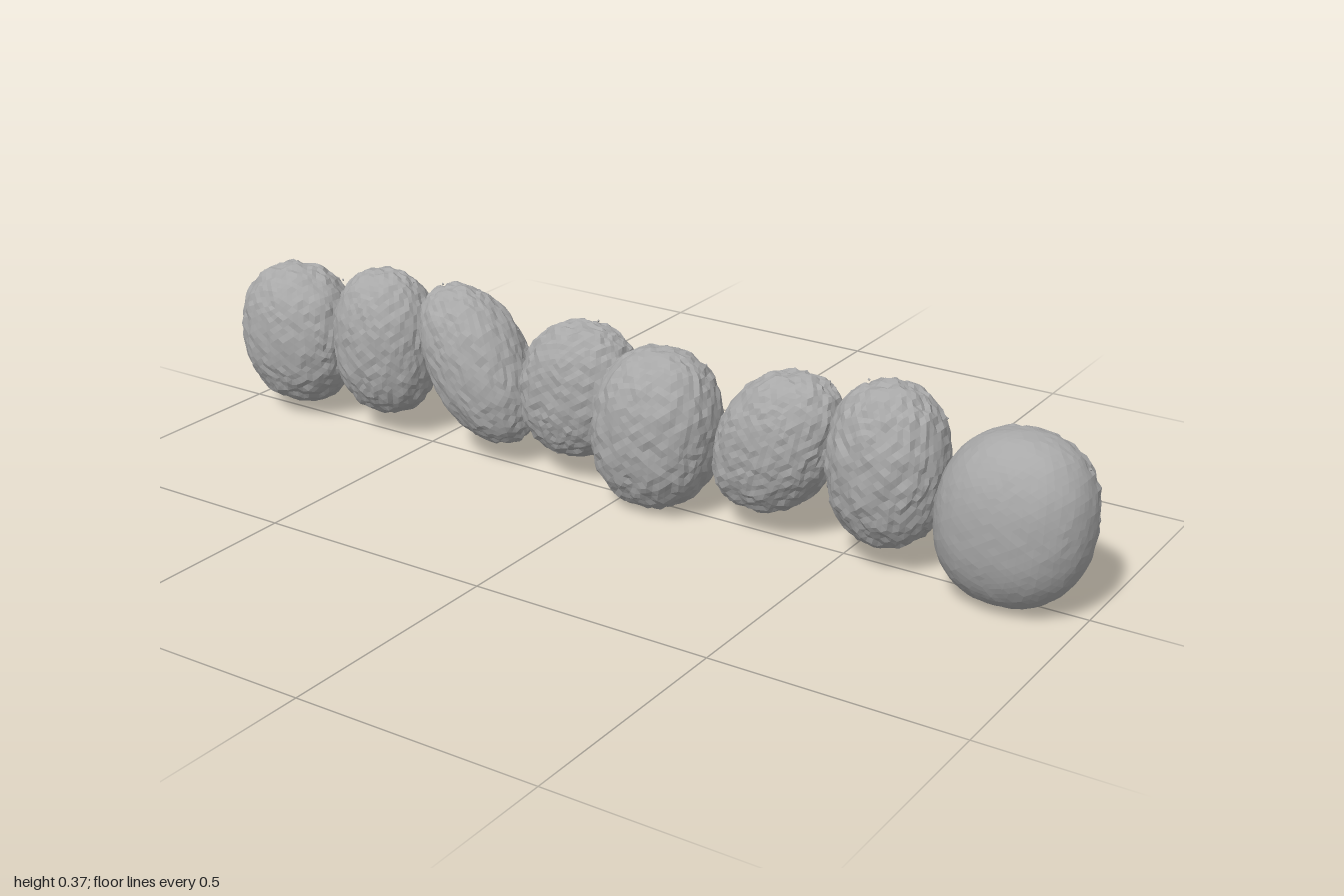
import * as THREE from 'three';

// Lumps: x range, y range, z range, lean (x shift of the top), roughness of the front
const LUMPS = [
  [-1.0, -0.725, 0.03, 0.345, -0.105, 0.1, 0.0, 0.8],
  [-0.745, -0.505, 0.05, 0.372, -0.11, 0.085, 0.0, 0.8],
  [-0.505, -0.245, 0.05, 0.372, -0.105, 0.085, -0.055, 0.8],
  [-0.265, 0.0, 0.055, 0.35, -0.11, 0.06, 0.02, 1],
  [-0.055, 0.215, 0.008, 0.345, -0.105, 0.12, 0.01, 0.8],
  [0.21, 0.475, 0.05, 0.348, -0.11, 0.08, 0.04, 1],
  [0.465, 0.7, 0.05, 0.378, -0.11, 0.1, 0.0, 1],
  [0.7, 1.0, 0.008, 0.348, -0.11, 0.132, 0.01, 0.2],
];

// Repeatable noise from a direction, 0..1, equal for shared corners
function hash(v, seed) {
  const q = (n) => Math.round(n * 1000);
  const s = Math.sin(q(v.x) * 12.9898 + q(v.y) * 78.233 + q(v.z) * 37.719 + seed * 4.37) * 43758.5453;
  return s - Math.floor(s);
}

// Point on a lump's rounded, leaning surface in direction d
function surfacePoint(d, lump, seed, grow = 0) {
  const [x0, x1, y0, y1, z0, z1, lean, rough] = lump;
  const p = 2.25;
  const k = Math.pow(Math.abs(d.x) ** p + Math.abs(d.y) ** p + Math.abs(d.z) ** p, -1 / p);
  const waves = Math.sin(d.x * 9 + seed * 2.1) * Math.sin(d.y * 8 + seed) * Math.sin(d.z * 9 + seed * 1.3);
  const amount = d.z > -0.2 ? rough : 1;
  const r = k * (1 + grow + amount * (0.025 * waves - 0.05 * hash(d, seed) + 0.012));
  const hx = Math.sqrt(((x1 - x0) / 2) ** 2 - lean ** 2);
  return new THREE.Vector3(
    (x0 + x1) / 2 + r * (hx * d.x + lean * d.y),
    Math.max(0, (y0 + y1) / 2 + r * d.y * (y1 - y0) / 2),
    (z0 + z1) / 2 + r * d.z * (z1 - z0) / 2
  );
}

function lumpGeometry(lump, seed) {
  const geo = new THREE.IcosahedronGeometry(1, 11);
  const pos = geo.attributes.position;
  const d = new THREE.Vector3();
  for (let i = 0; i < pos.count; i++) {
    d.fromBufferAttribute(pos, i).normalize();
    const v = surfacePoint(d, lump, seed);
    pos.setXYZ(i, v.x, v.y, v.z);
  }
  geo.computeVertexNormals();
  return geo;
}

export function createModel() {
  const model = new THREE.Group();
  model.name = 'lumpRow';
  const stone = new THREE.MeshStandardMaterial({ color: 0xa8a8a8, flatShading: true });
  stone.name = 'stone grey';
  const add = (parent, geo, name, x = 0, y = 0, z = 0) => {
    const mesh = new THREE.Mesh(geo, stone);
    mesh.name = name;
    mesh.position.set(x, y, z);
    parent.add(mesh);
    return mesh;
  };
  const grainGeo = new THREE.OctahedronGeometry(0.003);

  LUMPS.forEach((lump, i) => {
    const group = new THREE.Group();
    group.name = 'lump' + (i + 1);
    model.add(group);
    add(group, lumpGeometry(lump, i + 1), 'body');

    // Short mounting peg at the back, with a slightly wider end
    const x = -0.86 + i * 0.2414;
    add(group, new THREE.BoxGeometry(0.016, 0.042, 0.06), 'backPeg', x, 0.196, -0.103);
    add(group, new THREE.BoxGeometry(0.022, 0.03, 0.014), 'pegEnd', x, 0.196, -0.126);

    // Loose grains on the rear half
    for (let g = 0; g < 6; g++) {
      const a = g * 2.4 + i;
      const z = -0.15 - g * 0.12;
      const r = Math.sqrt(1 - z * z);
      const d = new THREE.Vector3(Math.cos(a) * r, Math.sin(a) * r, z);
      add(group, grainGeo, 'grain').position.copy(surfacePoint(d, lump, i + 1, 0.02));
    }
  });
  return model;
}
